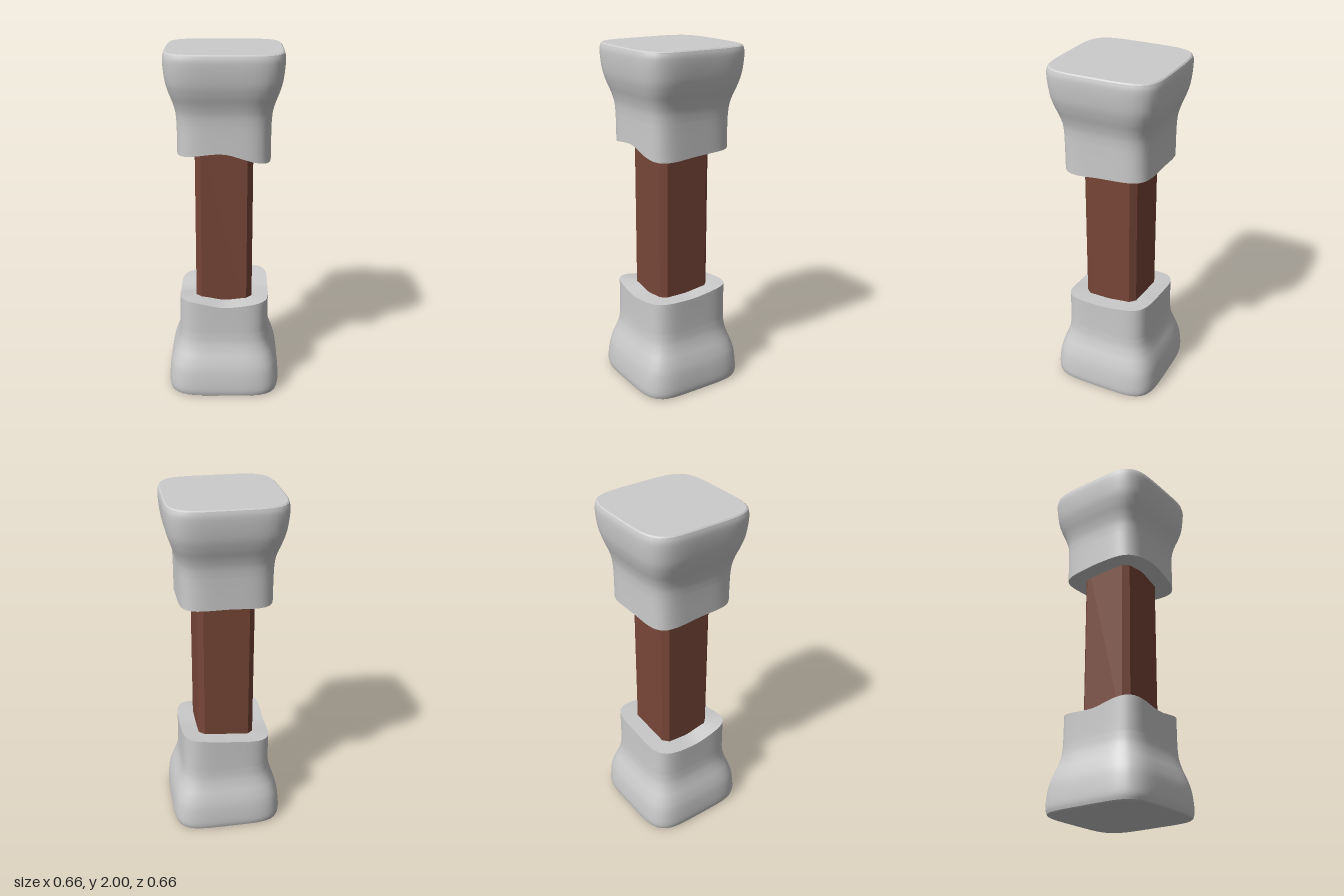
import * as THREE from 'three';
import { mergeGeometries } from 'three/addons/utils/BufferGeometryUtils.js';

const SEGMENTS = 72;
const SQUARENESS = 4.85;

// Closed loop of heights, given every 45 degrees from +x towards +z
function waveFrom(heights) {
  const curve = new THREE.CatmullRomCurve3(
    heights.map((h, i) => new THREE.Vector3(i, h, 0)), true, 'catmullrom', 0.5);
  return (i) => curve.getPoint((i % SEGMENTS) / SEGMENTS).y;
}

// Skin through rounded-square rings; each ring is { half, y(i) }
function loft(rings, flip) {
  const positions = [];
  const index = [];
  rings.forEach(({ half, y }, r) => {
    for (let i = 0; i < SEGMENTS; i++) {
      const angle = (i / SEGMENTS) * Math.PI * 2;
      const c = Math.cos(angle);
      const s = Math.sin(angle);
      const radius = half /
        Math.pow(Math.abs(c) ** SQUARENESS + Math.abs(s) ** SQUARENESS, 1 / SQUARENESS);
      const h = y(i);
      positions.push(radius * c, flip ? 2 - h : h, radius * s);
      if (r === 0) continue;
      const next = (i + 1) % SEGMENTS;
      const a = (r - 1) * SEGMENTS + i;
      const b = (r - 1) * SEGMENTS + next;
      const d = r * SEGMENTS + i;
      const e = r * SEGMENTS + next;
      if (flip) index.push(a, b, d, b, e, d);
      else index.push(a, d, b, b, d, e);
    }
  });
  const geometry = new THREE.BufferGeometry();
  geometry.setAttribute('position', new THREE.Float32BufferAttribute(positions, 3));
  geometry.setIndex(index);
  geometry.computeVertexNormals();
  return geometry;
}

// Flared end block: flat outer face, curved sides, wavy inner rim
function endBlock(rimHeights, flip) {
  const rim = waveFrom(rimHeights);
  const flat = (h) => () => h;

  // Flare from the outer face to the straight collar
  const flare = new THREE.SplineCurve([
    [0.322, 0.006], [0.328, 0.035], [0.326, 0.09], [0.317, 0.16], [0.3, 0.22],
    [0.28, 0.275], [0.266, 0.33], [0.261, 0.39],
  ].map(([x, y]) => new THREE.Vector2(x, y)));
  const sides = flare.getPoints(28).map((p) => ({ half: p.x, y: flat(p.y) }));
  for (const t of [0.35, 0.7, 1]) {
    sides.push({ half: 0.26, y: (i) => THREE.MathUtils.lerp(0.39, rim(i), t) });
  }

  const face = [
    { half: 0, y: flat(0) },
    { half: 0.315, y: flat(0) },
  ];
  const bevel = [{ half: 0.315, y: flat(0) }, { half: 0.322, y: flat(0.006) }];

  // Inner end runs from the wavy rim in to the post
  const inner = [1, 0.75, 0.5, 0].map((k) => ({
    half: 0.26 * k,
    y: (i) => THREE.MathUtils.lerp(0.565, rim(i), k),
  }));
  return mergeGeometries([face, bevel, sides, inner].map((rings) => loft(rings, flip)));
}

// Square post with chamfered corners
function postGeometry(bottom, top) {
  const w = 0.162;
  const c = 0.13;
  const outline = [[w, -c], [w, c], [c, w], [-c, w], [-w, c], [-w, -c], [-c, -w], [c, -w]];
  const shape = new THREE.Shape(outline.map(([x, y]) => new THREE.Vector2(x, y)));
  return new THREE.ExtrudeGeometry(shape, { depth: top - bottom, bevelEnabled: false })
    .rotateX(-Math.PI / 2)
    .translate(0, bottom, 0);
}

export function createModel() {
  const model = new THREE.Group();
  const grey = new THREE.MeshStandardMaterial({ color: 0xcccccc });
  const brown = new THREE.MeshStandardMaterial({ color: 0x784638, flatShading: true });

  const add = (name, geometry, material) => {
    const mesh = new THREE.Mesh(geometry, material);
    mesh.name = name;
    model.add(mesh);
  };

  // Rim heights measured from each block's outer face
  add('bottomBlock',
    endBlock([0.575, 0.573, 0.55, 0.583, 0.545, 0.56, 0.58, 0.598], false), grey);
  add('topBlock',
    endBlock([0.582, 0.594, 0.536, 0.556, 0.56, 0.576, 0.568, 0.572], true), grey);
  add('post', postGeometry(0.45, 1.55), brown);
  return model;
}
